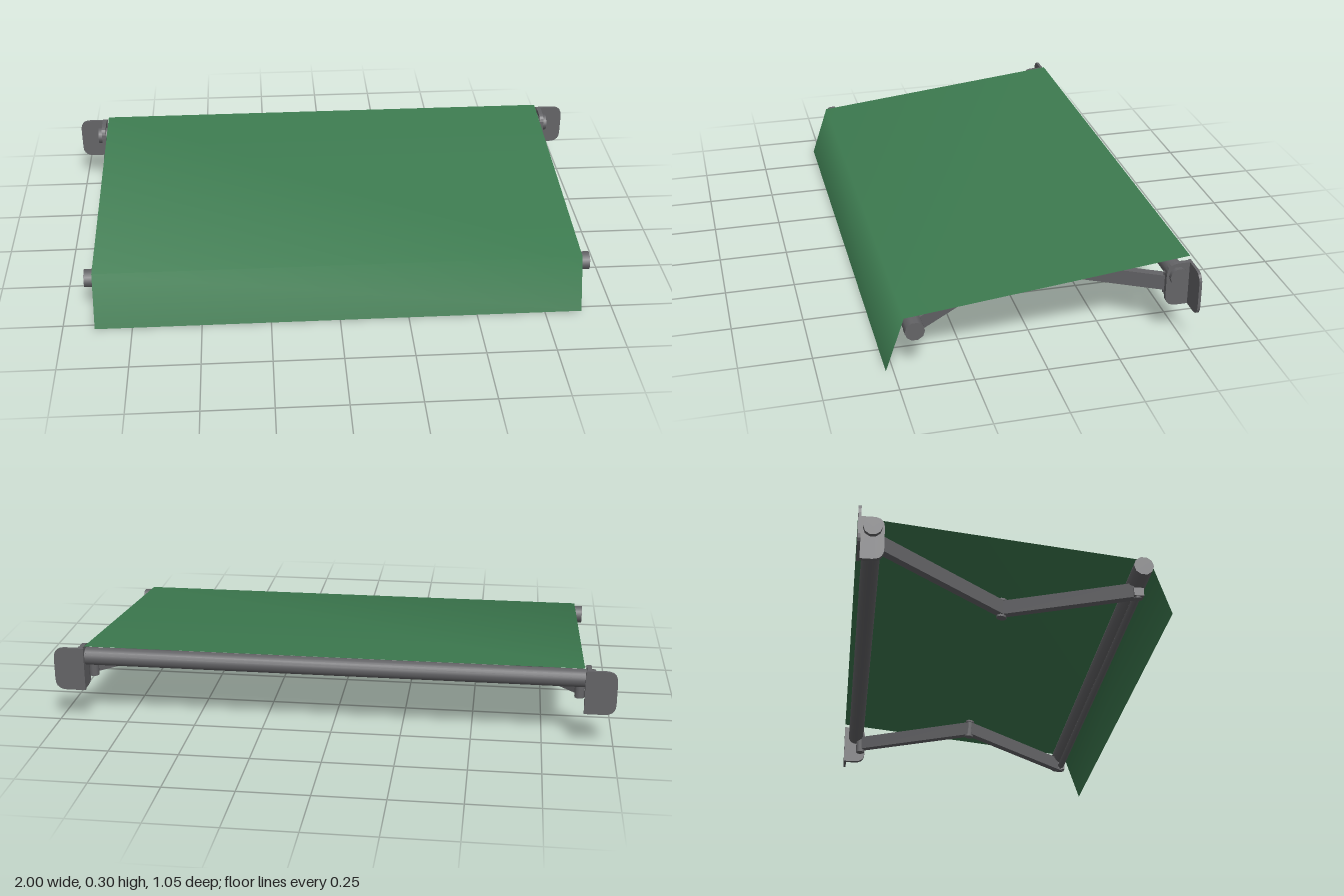
import * as THREE from 'three';

const metal = new THREE.MeshStandardMaterial({ color: 0x646467 });
metal.name = 'grey metal';
const fabric = new THREE.MeshStandardMaterial({ color: 0x3d7b50, side: THREE.DoubleSide });
fabric.name = 'green fabric';

const V = (x, y, z) => new THREE.Vector3(x, y, z);

function add(parent, name, geometry, material = metal) {
  const mesh = new THREE.Mesh(geometry, material);
  mesh.name = name;
  parent.add(mesh);
  return mesh;
}

// Round bar between two points
function rod(parent, name, a, b, radius, sides = 10) {
  const dir = b.clone().sub(a);
  const mesh = add(parent, name, new THREE.CylinderGeometry(radius, radius, dir.length(), sides));
  mesh.position.copy(a).add(b).multiplyScalar(0.5);
  mesh.quaternion.setFromUnitVectors(V(0, 1, 0), dir.normalize());
}

// Rectangular bar between two points
function beam(parent, name, a, b, width, height) {
  const mesh = add(parent, name, new THREE.BoxGeometry(width, height, a.distanceTo(b)));
  mesh.position.copy(a).add(b).multiplyScalar(0.5);
  mesh.lookAt(b);
}

// Plate that is square at u0 and has rounded corners at u1
function tabShape(u0, u1, y0, y1, r) {
  const k = u1 > u0 ? r : -r;
  const s = new THREE.Shape();
  s.moveTo(u0, y0);
  s.lineTo(u1 - k, y0);
  s.quadraticCurveTo(u1, y0, u1, y0 + r);
  s.lineTo(u1, y1 - r);
  s.quadraticCurveTo(u1, y1, u1 - k, y1);
  s.lineTo(u0, y1);
  s.closePath();
  return s;
}

const extrude = (shape, depth) =>
  new THREE.ExtrudeGeometry(shape, { depth, bevelEnabled: false, curveSegments: 5 });

// Sheet swept across x along a (z, y) profile
function sheet(halfWidth, profile) {
  const pos = [], index = [];
  profile.forEach(([z, y], i) => {
    pos.push(-halfWidth, y, z, halfWidth, y, z);
    if (i) {
      const k = 2 * i;
      index.push(k - 2, k, k + 1, k - 2, k + 1, k - 1);
    }
  });
  const g = new THREE.BufferGeometry();
  g.setAttribute('position', new THREE.Float32BufferAttribute(pos, 3));
  g.setIndex(index);
  g.computeVertexNormals();
  return g;
}

function wallBracket(s) {
  const g = new THREE.Group();
  g.name = s > 0 ? 'leftWallBracket' : 'rightWallBracket';
  // Plate against the wall
  add(g, 'wallPlate', extrude(tabShape(s * 0.89, s, 0.13, 0.29, 0.04), 0.01)).position.z = -0.525;
  // Cheek plate standing out from the wall
  const cheek = extrude(tabShape(-0.525, -0.435, 0.13, 0.29, 0.04), 0.016).rotateY(-Math.PI / 2);
  add(g, 'cheekPlate', cheek).position.x = s * 0.902 + 0.008;
  // Roller end cap
  rod(g, 'rollerCap', V(s * 0.89, 0.245, -0.475), V(s * 0.925, 0.245, -0.475), 0.032);
  // Shoulder hinge
  rod(g, 'shoulderHinge', V(s * 0.875, 0.165, -0.455), V(s * 0.875, 0.243, -0.455), 0.018);
  return g;
}

function foldingArm(s) {
  const g = new THREE.Group();
  g.name = s > 0 ? 'leftArm' : 'rightArm';
  const shoulder = V(s * 0.875, 0.206, -0.45);
  const elbow = V(s * 0.55, 0.162, 0);
  const wrist = V(s * 0.81, 0.118, 0.42);
  beam(g, 'rearArm', shoulder, elbow, 0.028, 0.055);
  beam(g, 'frontArm', elbow, wrist, 0.028, 0.053);
  // Elbow hinge with end flanges
  rod(g, 'elbowPin', V(s * 0.55, 0.127, -0.003), V(s * 0.55, 0.196, 0.001), 0.014);
  rod(g, 'elbowLowerCap', V(s * 0.55, 0.126, -0.004), V(s * 0.55, 0.134, -0.003), 0.018);
  rod(g, 'elbowUpperCap', V(s * 0.55, 0.19, 0), V(s * 0.55, 0.198, 0.001), 0.018);
  // Joint at the front bar
  rod(g, 'wristPin', V(s * 0.81, 0.09, 0.428), V(s * 0.81, 0.145, 0.43), 0.013);
  add(g, 'wristBlock', new THREE.BoxGeometry(0.034, 0.03, 0.034)).position.set(s * 0.81, 0.11, 0.43);
  return g;
}

export function createModel() {
  const model = new THREE.Group();
  model.name = 'awning';

  // Sloping canopy with hanging front valance
  add(model, 'canopy', sheet(0.885, [[-0.525, 0.3], [0.46, 0.196], [0.525, 0.001]]), fabric);

  // Rear roller, front bar and slim rail below it
  rod(model, 'rearRoller', V(-0.9, 0.245, -0.475), V(0.9, 0.245, -0.475), 0.032, 16);
  rod(model, 'frontBar', V(-0.915, 0.16, 0.43), V(0.915, 0.16, 0.43), 0.034);
  rod(model, 'frontRail', V(-0.82, 0.111, 0.431), V(0.82, 0.111, 0.431), 0.014, 8);

  for (const s of [1, -1]) model.add(wallBracket(s), foldingArm(s));
  return model;
}
